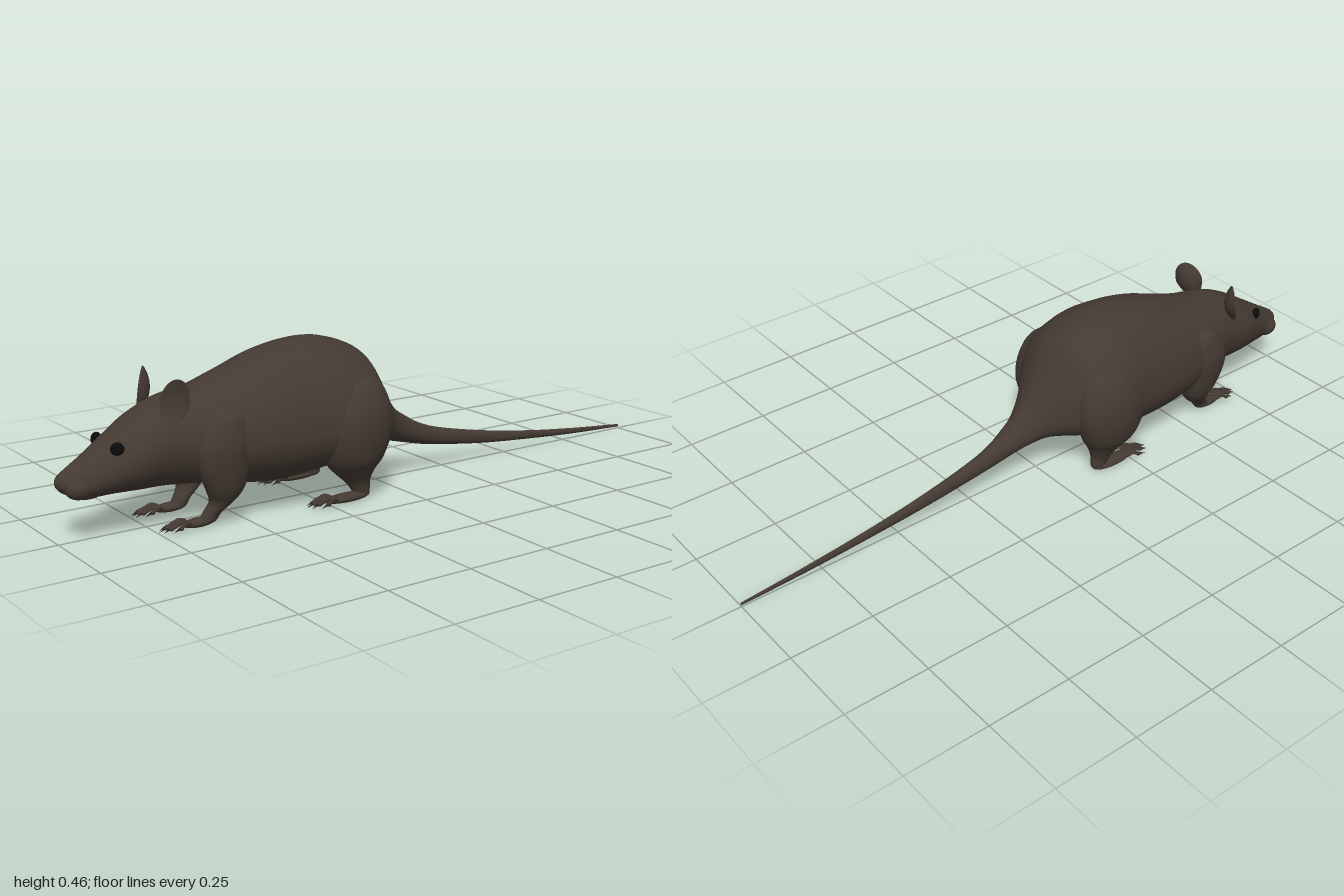
import * as THREE from 'three';

const fur = new THREE.MeshStandardMaterial({ color: 0x443a32 });
fur.name = 'dark brown fur';
const black = new THREE.MeshStandardMaterial({ color: 0x0b0b0b });
black.name = 'black eye';
const horn = new THREE.MeshStandardMaterial({ color: 0x2e2822 });
horn.name = 'dark claw';

function mesh(name, geometry, material = fur) {
  const m = new THREE.Mesh(geometry, material);
  m.name = name;
  return m;
}

function ellipsoid(name, [x, y, z], [rx, ry, rz], material = fur) {
  const m = mesh(name, new THREE.SphereGeometry(1, 24, 16), material);
  m.position.set(x, y, z);
  m.scale.set(rx, ry, rz);
  return m;
}

// Smooth interpolation of rows of numbers
function smoothRows(rows, steps) {
  const out = [];
  for (let i = 0; i < rows.length - 1; i++) {
    const a = rows[Math.max(i - 1, 0)], b = rows[i], c = rows[i + 1];
    const d = rows[Math.min(i + 2, rows.length - 1)];
    for (let s = 0; s < steps; s++) {
      const t = s / steps;
      out.push(b.map((v, k) => {
        const cubic = 3 * (v - c[k]) + d[k] - a[k];
        const square = 2 * a[k] - 5 * v + 4 * c[k] - d[k];
        return v + 0.5 * t * (c[k] - a[k] + t * (square + t * cubic));
      }));
    }
  }
  out.push(rows[rows.length - 1]);
  return out;
}

// Closed skin over rings; pointAt(row, angle) gives a point of one ring
function skin(rows, sides, pointAt) {
  const pos = [], index = [];
  const n = rows.length;
  for (const row of rows)
    for (let j = 0; j < sides; j++) pos.push(...pointAt(row, (j / sides) * Math.PI * 2));
  for (let i = 0; i < n - 1; i++) {
    for (let j = 0; j < sides; j++) {
      const k = (j + 1) % sides;
      const a = i * sides + j, b = i * sides + k, c = a + sides, d = b + sides;
      index.push(a, c, b, b, c, d);
    }
  }
  const e = (n - 1) * sides;
  for (let j = 1; j < sides - 1; j++) {
    index.push(0, j, j + 1);
    index.push(e, e + j + 1, e + j);
  }
  const g = new THREE.BufferGeometry();
  g.setAttribute('position', new THREE.Float32BufferAttribute(pos, 3));
  g.setIndex(index);
  g.computeVertexNormals();
  return g;
}

// Head, trunk and tail sections: z, bottom, top, half width, height of widest point
const trunkRows = [
  [1.0, 0.158, 0.168, 0.006, 0.163], [0.99, 0.143, 0.183, 0.024, 0.16],
  [0.96, 0.13, 0.202, 0.043, 0.155], [0.92, 0.114, 0.227, 0.056, 0.16],
  [0.85, 0.114, 0.272, 0.082, 0.19], [0.78, 0.112, 0.316, 0.104, 0.22],
  [0.7, 0.11, 0.352, 0.112, 0.235], [0.6, 0.1, 0.37, 0.138, 0.23],
  [0.5, 0.085, 0.402, 0.165, 0.22], [0.4, 0.072, 0.438, 0.178, 0.22],
  [0.3, 0.076, 0.457, 0.187, 0.22], [0.2, 0.095, 0.456, 0.2, 0.22],
  [0.1, 0.11, 0.422, 0.184, 0.22], [0.05, 0.117, 0.372, 0.139, 0.21],
  [0, 0.119, 0.296, 0.086, 0.19], [-0.05, 0.11, 0.223, 0.055, 0.16],
  [-0.1, 0.097, 0.183, 0.038, 0.138], [-0.2, 0.074, 0.132, 0.023, 0.103],
  [-0.4, 0.045, 0.086, 0.013, 0.065], [-0.6, 0.027, 0.054, 0.009, 0.04],
  [-0.8, 0.013, 0.031, 0.006, 0.022], [-1, 0.005, 0.013, 0.003, 0.009],
];

function trunkPoint([z, bottom, top, w, mid], a) {
  const s = Math.sin(a);
  return [w * Math.cos(a), mid + s * (s > 0 ? top - mid : mid - bottom), z];
}

// Limb sections from top to sole: x, y, z, radius in x, radius in z
const foreRows = [
  [0.105, 0.33, 0.55, 0.006, 0.008], [0.112, 0.3, 0.56, 0.038, 0.055],
  [0.117, 0.23, 0.57, 0.049, 0.08], [0.114, 0.16, 0.57, 0.045, 0.075],
  [0.104, 0.1, 0.565, 0.041, 0.055], [0.093, 0.065, 0.57, 0.032, 0.036],
  [0.085, 0.035, 0.595, 0.023, 0.027], [0.083, 0.012, 0.61, 0.019, 0.025],
  [0.083, 0.004, 0.61, 0.004, 0.006],
];
const hindRows = [
  [0.115, 0.37, 0.15, 0.006, 0.01], [0.127, 0.34, 0.155, 0.052, 0.07],
  [0.137, 0.27, 0.165, 0.074, 0.11], [0.141, 0.2, 0.17, 0.074, 0.118],
  [0.137, 0.13, 0.17, 0.064, 0.095], [0.13, 0.09, 0.165, 0.046, 0.066],
  [0.127, 0.055, 0.152, 0.028, 0.04], [0.127, 0.03, 0.142, 0.021, 0.03],
  [0.127, 0.012, 0.14, 0.018, 0.024], [0.127, 0.004, 0.14, 0.004, 0.006],
];

function limb(name, rows) {
  const point = ([x, y, z, rx, rz], a) => [x + rx * Math.cos(a), y, z - rz * Math.sin(a)];
  return mesh(name, skin(smoothRows(rows, 5), 28, point));
}

// Flat foot with five fanned toes and claws
function foot(name, x, z, width, length, reach) {
  const g = new THREE.Group();
  g.name = name;
  g.add(ellipsoid('sole', [x, 0.013, z], [width, 0.013, length]));
  for (let i = -2; i <= 2; i++) {
    const out = i * width * 0.36, len = reach * (1 - 0.11 * i * i);
    const base = new THREE.Vector3(x + out, 0.017, z + length * 0.6);
    const knuckle = new THREE.Vector3(x + out * 1.35, 0.023, base.z + len * 0.4);
    const tip = new THREE.Vector3(x + out * 1.65, 0.014, base.z + len * 0.8);
    const toePath = new THREE.CatmullRomCurve3([base, knuckle, tip]);
    g.add(mesh('toe', new THREE.TubeGeometry(toePath, 8, 0.0055, 8)));
    g.add(ellipsoid('toeTip', tip.toArray(), [0.006, 0.006, 0.008]));
    const claw = mesh('claw', new THREE.ConeGeometry(0.004, 0.026, 8), horn);
    claw.position.set(tip.x + out * 0.1, 0.011, tip.z + 0.013);
    claw.rotation.x = Math.PI / 2 + 0.4;
    g.add(claw);
  }
  return g;
}

// Cupped ear: a flattened ball with its middle pushed back
function ear() {
  const geo = new THREE.SphereGeometry(1, 32, 24);
  const p = geo.attributes.position;
  for (let i = 0; i < p.count; i++) {
    const x = p.getX(i), y = p.getY(i), z = p.getZ(i);
    const narrow = y < 0 ? 1 + 0.3 * y : 1;
    p.setXYZ(i, x * 0.043 * narrow, y * 0.066, z * 0.007 - (1 - x * x - y * y) * 0.02);
  }
  geo.computeVertexNormals();
  const m = mesh('ear', geo);
  m.position.set(0.097, 0.35, 0.705);
  m.rotation.set(-0.15, 0.6, -0.2);
  return m;
}

function sideParts(name) {
  const g = new THREE.Group();
  g.name = name;
  g.add(limb('foreleg', foreRows), limb('hindLeg', hindRows));
  g.add(foot('forefoot', 0.081, 0.635, 0.021, 0.05, 0.08));
  g.add(foot('hindFoot', 0.132, 0.19, 0.024, 0.075, 0.08));
  g.add(ear());
  const eye = ellipsoid('eye', [0.063, 0.246, 0.853], [0.012, 0.018, 0.018], black);
  eye.rotation.y = -0.5;
  g.add(eye);
  g.add(ellipsoid('muzzleCheek', [0.026, 0.15, 0.945], [0.031, 0.031, 0.04]));
  g.add(ellipsoid('nostril', [0.01, 0.16, 0.982], [0.012, 0.012, 0.014]));
  return g;
}

export function createModel() {
  const model = new THREE.Group();
  model.name = 'rodent';
  model.add(mesh('headTrunkAndTail', skin(smoothRows(trunkRows, 6), 56, trunkPoint)));
  model.add(ellipsoid('lowerJaw', [0, 0.126, 0.915], [0.036, 0.016, 0.045]));
  const left = sideParts('leftSide');
  const right = sideParts('rightSide');
  right.scale.x = -1;
  model.add(left, right);
  return model;
}
